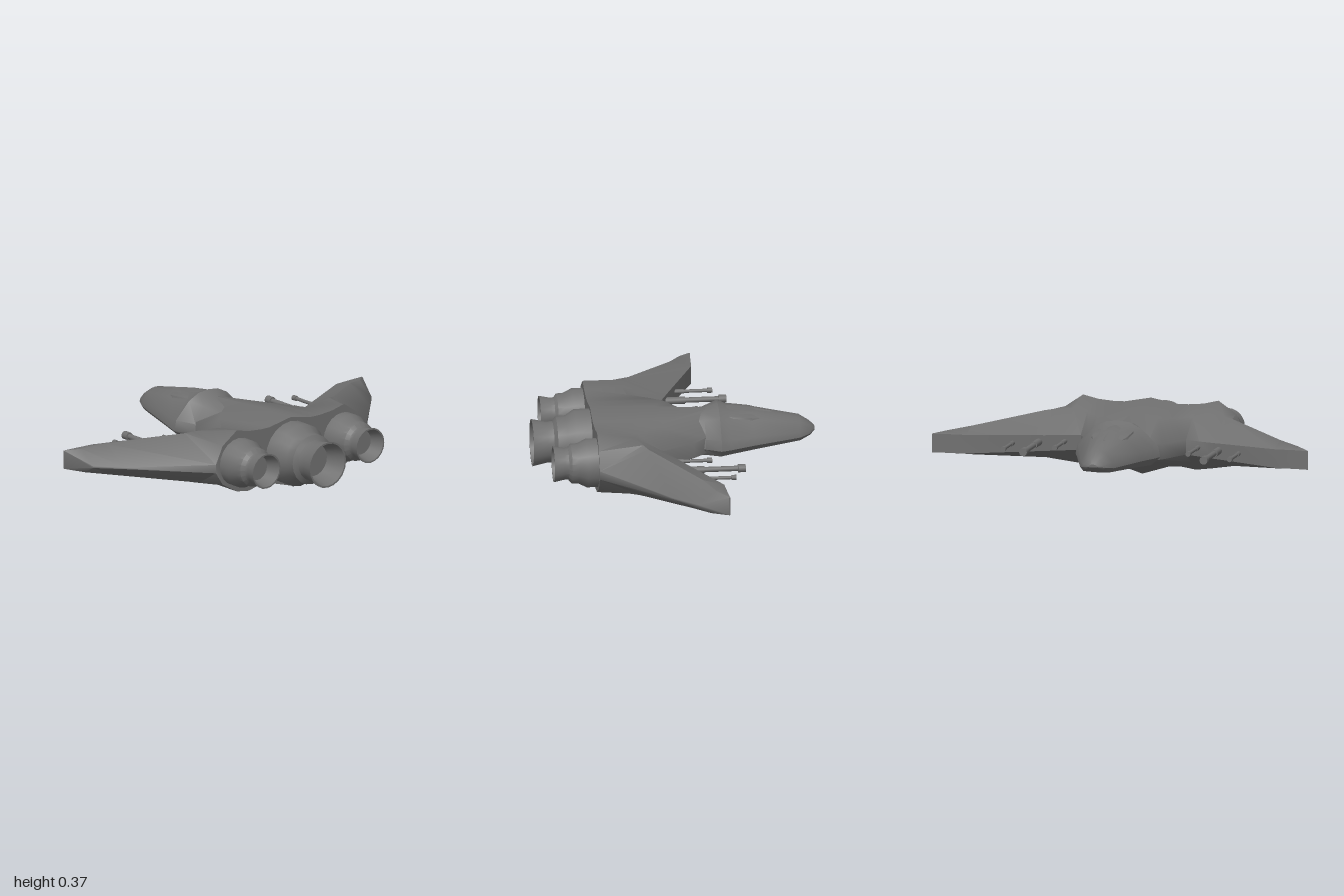
import * as THREE from 'three';
import { toCreasedNormals } from 'three/addons/utils/BufferGeometryUtils.js';

const material = new THREE.MeshStandardMaterial({ color: 0x707070 });

// Skin a row of equal-length rings (counter-clockwise about the loft axis) and cap both ends.
function loft(rings, crease) {
  const n = rings[0].length;
  const pos = rings.flat(2);
  const index = [];
  for (let i = 0; i < rings.length - 1; i++) {
    for (let j = 0; j < n; j++) {
      const a = i * n + j, b = i * n + (j + 1) % n;
      index.push(a, b, b + n, a, b + n, a + n);
    }
  }
  [0, rings.length - 1].forEach((r) => {
    const c = pos.length / 3;
    for (let k = 0; k < 3; k++) pos.push(rings[r].reduce((s, p) => s + p[k], 0) / n);
    for (let j = 0; j < n; j++) {
      const a = r * n + j, b = r * n + (j + 1) % n;
      index.push(c, ...(r === 0 ? [b, a] : [a, b]));
    }
  });
  const g = new THREE.BufferGeometry();
  g.setAttribute('position', new THREE.Float32BufferAttribute(pos, 3));
  g.setIndex(index);
  return toCreasedNormals(g, crease);
}

function mesh(name, geometry) {
  const m = new THREE.Mesh(geometry, material);
  m.name = name;
  return m;
}

// Hull and wings: one section per station x across the span
function hullSection([x, zFront, yFront, zRidge, yRidge, yRearTop, yRearLow, zBelly, yBelly]) {
  // Straight rear edge, then the swept trailing edge, then the clipped tip
  const zRear = Math.min(0.43, 0.43 - 1.07 * (x - 0.5), -0.185 + 2.31 * (1 - x));
  const yFrontLow = 0.12 + 0.028 * Math.min(x / 0.14, 1);
  const keelLift = 0.035 * Math.max(0, 1 - x / 0.2);
  const keel = [(zBelly + zFront) / 2, (yBelly + yFrontLow) / 2 + keelLift];
  return [[zFront, yFront], [zRidge, yRidge], [zRear, yRearTop], [zRear, yRearLow],
    [zBelly, yBelly], keel, [zFront, yFrontLow]].map(([z, y]) => [x, y, z]);
}

function hullGeometry() {
  const half = [
    [0, -0.2, 0.342, 0.1, 0.363, 0.373, 0.005, 0.26, 0.005],
    [0.14, -0.16, 0.235, 0.04, 0.336, 0.347, 0.047, 0.27, 0.047],
    [0.2, -0.09, 0.228, 0.1, 0.328, 0.347, 0.052, 0.27, 0.05],
    [0.28, 0.08, 0.225, 0.21, 0.32, 0.354, 0.033, 0.28, 0.035],
    [0.36, 0.04, 0.227, 0.23, 0.335, 0.373, 0.045, 0.28, 0.045],
    [0.455, -0.005, 0.23, 0.2, 0.333, 0.308, 0.1, 0.24, 0.065],
    [0.5, -0.026, 0.232, 0.18, 0.327, 0.215, 0.17, 0.22, 0.075],
    [0.82, -0.18, 0.245, -0.07, 0.275, 0.183, 0.175, -0.03, 0.118],
    [0.935, -0.186, 0.246, -0.13, 0.256, 0.185, 0.175, -0.1, 0.137],
    [1, -0.192, 0.245, -0.19, 0.246, 0.243, 0.15, -0.188, 0.147],
  ].map(hullSection);
  const mirrored = half.slice(1).reverse().map((ring) => ring.map(([x, y, z]) => [-x, y, z]));
  return loft([...mirrored, ...half], 0.95);
}

// Nose: sections [z, half width, top, bottom] from tip to neck, flat below and widest low down
function noseGeometry() {
  const sections = [
    [-0.73, 0.025, 0.222, 0.206],
    [-0.705, 0.06, 0.247, 0.19],
    [-0.65, 0.09, 0.283, 0.168],
    [-0.4, 0.17, 0.332, 0.15],
    [-0.28, 0.208, 0.347, 0.14],
    [-0.23, 0.225, 0.367, 0.135],
    [-0.155, 0.155, 0.341, 0.126],
    [-0.02, 0.13, 0.325, 0.122],
  ];
  const side = [[0.8, 0.03], [1, 0.22], [0.95, 0.46], [0.56, 0.84], [0.28, 0.97]];
  return loft(sections.map(([z, w, top, low]) => {
    const right = side.map(([fx, fy]) => [fx * w, low + fy * (top - low), z]);
    const left = right.map(([x, y]) => [-x, y, z]).reverse();
    return [[0, low, z], ...right, [0, top, z], ...left];
  }), 0.7);
}

// Canopy: sections [z, sill half width, top]; the roof is set in from the sill
function canopyGeometry() {
  const sections = [[-0.51, 0.06, 0.313], [-0.4, 0.11, 0.338], [-0.3, 0.118, 0.35], [-0.24, 0.1, 0.352]];
  return loft(sections.map(([z, w, top]) => {
    const sill = top - 0.065, roof = top - 0.026, rw = w * 0.84;
    return [[-w, sill, z], [w, sill, z], [rw, roof, z], [0, top, z], [-rw, roof, z]];
  }), 0.6);
}

// Engine: turned profile [radius, z] running out to the nozzle lip and back inside
function engine(name, x, y, profile) {
  const g = new THREE.LatheGeometry(profile.map(([r, z]) => new THREE.Vector2(r, z)), 20);
  g.rotateX(Math.PI / 2);
  const m = mesh(name, toCreasedNormals(g, 0.85));
  m.position.set(x, y, 0);
  return m;
}

// Gun: thick breech, barrel and muzzle, pointing to -z
function gun(name, x, y, rear, tip, r) {
  const group = new THREE.Group();
  group.name = name;
  const rod = (part, radius, z0, z1) => {
    const g = new THREE.CylinderGeometry(radius, radius, z0 - z1, 12);
    g.rotateX(Math.PI / 2);
    const m = mesh(part, g);
    m.position.set(x, y, (z0 + z1) / 2);
    group.add(m);
  };
  rod('breech', r * 1.35, rear, rear - (rear - tip) * 0.4);
  rod('barrel', r, rear, tip + 0.01);
  rod('muzzle', r * 1.5, tip + r * 2.8, tip);
  return group;
}

export function createModel() {
  const ship = new THREE.Group();
  ship.name = 'spacecraft';
  ship.position.y = -0.005;
  ship.add(mesh('hullAndWings', hullGeometry()), mesh('nose', noseGeometry()), mesh('canopy', canopyGeometry()));

  ship.add(engine('centreEngine', 0, 0.187, [
    [0.165, 0.38], [0.165, 0.51], [0.135, 0.555], [0.132, 0.605], [0.108, 0.622],
    [0.106, 0.655], [0.122, 0.73], [0.113, 0.73], [0.085, 0.62], [0, 0.62],
  ]));
  const sideProfile = [
    [0.126, 0.38], [0.126, 0.485], [0.104, 0.53], [0.102, 0.565], [0.083, 0.58],
    [0.082, 0.6], [0.093, 0.655], [0.085, 0.655], [0.065, 0.58], [0, 0.58],
  ];
  for (const s of [1, -1]) {
    const side = s > 0 ? 'left' : 'right';
    ship.add(
      engine(side + 'Engine', s * 0.348, 0.204, sideProfile),
      gun(side + 'InnerGun', s * 0.355, 0.195, 0.08, -0.165, 0.009),
      gun(side + 'MiddleGun', s * 0.48, 0.195, 0.03, -0.325, 0.014),
      gun(side + 'OuterGun', s * 0.602, 0.195, -0.02, -0.265, 0.009),
    );
  }
  return ship;
}
